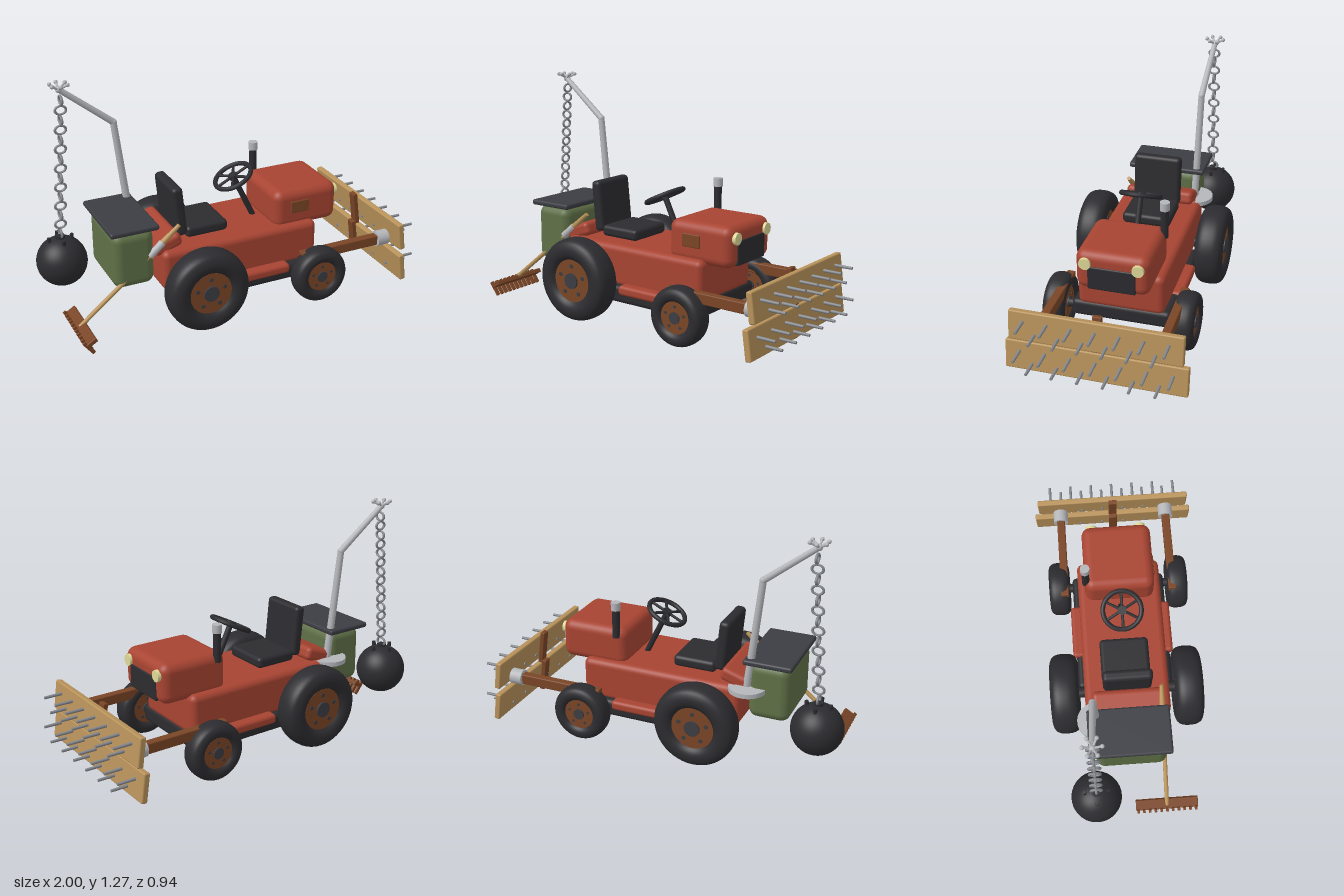
import * as THREE from 'three';
import { RoundedBoxGeometry } from 'three/addons/geometries/RoundedBoxGeometry.js';

const mat = (color) => new THREE.MeshStandardMaterial({ color });
const RED = mat(0xa84432), DARK = mat(0x2c2c30), LID = mat(0x3c3d43), WOOD = mat(0xb8925a), BROWN = mat(0x7a4526);
const GREEN = mat(0x5f7047), SILVER = mat(0xb4b6ba), STEEL = mat(0x85888d), LAMP = mat(0xded897);
const V = (x, y, z) => new THREE.Vector3(x, y, z);

export function createModel() {
  const root = new THREE.Group();
  const add = (name, geo, material, x = 0, y = 0, z = 0, parent = root) => {
    const m = new THREE.Mesh(geo, material);
    m.name = name;
    m.position.set(x, y, z);
    parent.add(m);
    return m;
  };
  const group = (name, x = 0, y = 0, z = 0) => {
    const g = new THREE.Group();
    g.name = name;
    g.position.set(x, y, z);
    root.add(g);
    return g;
  };
  // rounded box given by its limits on each axis
  const block = (name, material, x0, x1, y0, y1, z0, z1, r = 0.01, parent = root) =>
    add(name, new RoundedBoxGeometry(x1 - x0, y1 - y0, z1 - z0, 4, r), material,
      (x0 + x1) / 2, (y0 + y1) / 2, (z0 + z1) / 2, parent);
  // round bar between two points
  const rod = (name, a, b, r, material, rEnd = r, parent = root, sides = 16) => {
    const d = b.clone().sub(a);
    const m = add(name, new THREE.CylinderGeometry(rEnd, r, d.length(), sides), material, 0, 0, 0, parent);
    m.position.copy(a).add(b).multiplyScalar(0.5);
    m.quaternion.setFromUnitVectors(V(0, 1, 0), d.normalize());
    return m;
  };
  const ZC = -0.005; // centre line of the vehicle

  // Body
  block('body', RED, -0.445, 0.465, 0.19, 0.42, -0.24, 0.23, 0.035);
  block('chassis', DARK, -0.22, 0.465, 0.115, 0.21, -0.275, 0.265, 0.025);
  block('runningBoards', RED, -0.035, 0.275, 0.165, 0.22, -0.295, 0.285, 0.02);
  const deck = block('rearDeck', RED, -0.48, -0.32, 0.405, 0.48, -0.2, 0.19, 0.025);
  deck.rotation.z = 0.32;

  // Hood, grille, lamps, side vent, exhaust
  block('hood', RED, 0.226, 0.612, 0.387, 0.607, -0.2, 0.19, 0.05);
  block('grille', DARK, 0.59, 0.618, 0.4, 0.53, -0.13, 0.122, 0.008);
  block('sideVent', BROWN, 0.32, 0.43, 0.475, 0.545, 0.17, 0.196, 0.005);
  for (const s of [-1, 1])
    rod('headlight', V(0.59, 0.545, ZC + s * 0.138), V(0.625, 0.545, ZC + s * 0.138), 0.033, LAMP, 0.031, root, 24);
  rod('exhaustPipe', V(0.28, 0.56, -0.192), V(0.28, 0.725, -0.192), 0.021, DARK);
  rod('exhaustCap', V(0.28, 0.72, -0.192), V(0.28, 0.765, -0.192), 0.026, SILVER);

  // Seat
  block('seatCushion', DARK, -0.27, -0.03, 0.425, 0.487, -0.14, 0.13, 0.022);
  const back = block('seatBack', DARK, -0.335, -0.275, 0.445, 0.725, -0.137, 0.13, 0.022);
  back.rotation.z = 0.1;

  // Steering wheel on its column
  rod('steeringColumn', V(0.063, 0.67, ZC), V(0.185, 0.415, ZC), 0.016, DARK);
  const steering = group('steeringWheel', 0.063, 0.67, ZC);
  steering.rotation.z = 0.464;
  add('steeringRim', new THREE.TorusGeometry(0.105, 0.013, 10, 40).rotateX(Math.PI / 2), DARK, 0, 0, 0, steering);
  add('steeringHub', new THREE.CylinderGeometry(0.025, 0.025, 0.025, 16), DARK, 0, 0, 0, steering);
  for (let i = 0; i < 6; i++) {
    const a = i * Math.PI / 3;
    rod('spoke', V(0, 0, 0), V(0.105 * Math.cos(a), 0, 0.105 * Math.sin(a)), 0.008, DARK, 0.008, steering, 8);
  }

  // Wheels: lathed tyre, rim, hub and bolts, facing out on each side
  const wheel = (name, x, y, R, w, rim, side) => {
    const g = group(name, x, y, ZC + side * 0.347);
    const h = w / 2;
    const half = [[rim, 0.68], [rim + 0.2 * (R - rim), 0.92], [rim + 0.5 * (R - rim), 1],
      [R - 0.2 * (R - rim), 0.85], [R - 0.06 * (R - rim), 0.6], [R, 0.25]];
    const curve = new THREE.SplineCurve([...half, ...half.map(([r, k]) => [r, -k]).reverse()]
      .map(([r, k]) => new THREE.Vector2(r, -k * h)));
    add('tyre', new THREE.LatheGeometry(curve.getPoints(32), 48).rotateX(Math.PI / 2), DARK, 0, 0, 0, g);
    const disc = (n, r, half2, m, px = 0, py = 0) =>
      add(n, new THREE.CylinderGeometry(r, r, half2 * 2, 32).rotateX(Math.PI / 2), m, px, py, 0, g);
    disc('rim', rim + 0.002, h * 0.72, BROWN);
    disc('hub', rim * 0.37, h * 0.85, LID);
    for (let i = 0; i < 5; i++) {
      const a = Math.PI / 2 + i * Math.PI * 0.4;
      disc('bolt', rim * 0.1, h * 0.76, LID, rim * 0.7 * Math.cos(a), rim * 0.7 * Math.sin(a));
    }
  };
  for (const s of [-1, 1]) {
    wheel('rearWheel', -0.255, 0.232, 0.226, 0.16, 0.115, s);
    wheel('frontWheel', 0.417, 0.16, 0.156, 0.12, 0.083, s);
  }
  rod('rearAxle', V(-0.255, 0.232, -0.34), V(-0.255, 0.232, 0.33), 0.03, DARK);
  rod('frontAxle', V(0.417, 0.16, -0.34), V(0.417, 0.16, 0.33), 0.025, DARK);

  // Push beams with steel collars
  for (const s of [-1, 1]) {
    const z = ZC + s * 0.315;
    block('pushBeam', BROWN, 0.32, 0.83, 0.24, 0.297, z - 0.023, z + 0.023, 0.006);
    rod('beamCollar', V(0.8, 0.27, z), V(0.87, 0.27, z), 0.043, SILVER, 0.043, root, 24);
  }

  // Two tilted planks studded with spikes
  const plank = (y, halfLength, step) => {
    const g = group('spikedPlank', 0.888, y, ZC);
    g.rotation.z = 0.14;
    block('plank', WOOD, -0.017, 0.017, -0.079, 0.079, -halfLength, halfLength, 0.008, g);
    block('plankCleat', BROWN, -0.042, -0.015, -0.097, 0.097, -0.024, 0.024, 0.004, g);
    for (let row = 0; row < 2; row++)
      for (let i = 0; i < 7 - row; i++) {
        const z = ZC + (3 - row * 0.5 - i) * step, sy = y + 0.026 - row * 0.063;
        rod('spike', V(0.87, sy, z), V(1, sy, z), 0.009, STEEL, 0.0075, root, 10);
      }
  };
  plank(0.318, 0.445, 0.123);
  plank(0.141, 0.47, 0.131);

  // Rear bin with lid
  block('rearBin', GREEN, -0.7, -0.475, 0.24, 0.555, -0.2, 0.19, 0.05);
  block('binLid', LID, -0.72, -0.455, 0.555, 0.585, -0.235, 0.21, 0.012);

  // Mast: foot plate, bent pole and claw
  rod('mastFoot', V(-0.473, 0.395, -0.19), V(-0.473, 0.42, -0.19), 0.1, SILVER, 0.1, root, 40);
  const p0 = V(-0.468, 0.41, -0.185), p1 = V(-0.54, 1.02, -0.194), p2 = V(-0.815, 1.235, -0.206);
  rod('mastPole', p0, p1, 0.021, SILVER, 0.018);
  rod('mastArm', p1, p2, 0.018, SILVER, 0.015);
  add('mastElbow', new THREE.SphereGeometry(0.019, 16, 12), SILVER, p1.x, p1.y, p1.z);
  add('clawHub', new THREE.SphereGeometry(0.018, 16, 12), SILVER, p2.x, p2.y, p2.z);
  for (let i = 0; i < 6; i++) {
    const a = Math.PI / 6 + i * Math.PI / 3;
    const tip = p2.clone().add(V(0.047 * Math.cos(a), 0.026, 0.047 * Math.sin(a)));
    rod('clawFinger', p2, tip, 0.006, SILVER, 0.006, root, 8);
    add('clawTip', new THREE.SphereGeometry(0.011, 12, 8), SILVER, tip.x, tip.y, tip.z);
  }

  // Chain of alternating links
  const chain = group('chain');
  const link = new THREE.TorusGeometry(0.029, 0.007, 8, 24).scale(1, 0.78, 1);
  for (let i = 0; i < 15; i++) {
    const t = i / 14;
    const m = add('chainLink', link, STEEL, -0.81 - 0.05 * t, 1.178 - 0.745 * t, -0.206 - 0.004 * t, chain);
    m.rotation.y = i % 2 ? 0 : Math.PI / 2;
  }

  // Wrecking ball with lugs
  add('wreckingBall', new THREE.SphereGeometry(0.138, 40, 28), DARK, -0.862, 0.268, -0.212);
  rod('ballCollar', V(-0.862, 0.385, -0.212), V(-0.862, 0.42, -0.212), 0.025, DARK);
  for (let i = 0; i < 4; i++) {
    const a = i * Math.PI / 2, c = 0.058 * Math.cos(a), s = 0.058 * Math.sin(a);
    rod('ballLug', V(-0.862 + c, 0.37, -0.212 + s), V(-0.862 + c * 1.1, 0.415, -0.212 + s * 1.1), 0.012, DARK, 0.01, root, 10);
  }

  // Rake slung through the rear bin
  const rz = 0.178;
  rod('rakeHandle', V(-0.9, 0.08, rz), V(-0.43, 0.46, rz), 0.012, WOOD);
  rod('rakeGrip', V(-0.47, 0.428, rz), V(-0.335, 0.545, rz), 0.019, WOOD, 0.011);
  rod('rakeClamp', V(-0.505, 0.4, rz), V(-0.43, 0.463, rz), 0.02, SILVER);
  const head = group('rakeHead', -0.893, 0.08, rz);
  head.rotation.z = 0.55;
  block('rakeBar', BROWN, -0.03, 0.03, -0.012, 0.012, -0.175, 0.175, 0.004, head);
  for (let i = 0; i < 11; i++) {
    const tooth = add('rakeTooth', new THREE.BoxGeometry(0.018, 0.085, 0.014), BROWN,
      -0.908, 0.052, rz + (i - 5) * 0.0325);
    tooth.rotation.z = 0.64;
  }

  return root;
}
